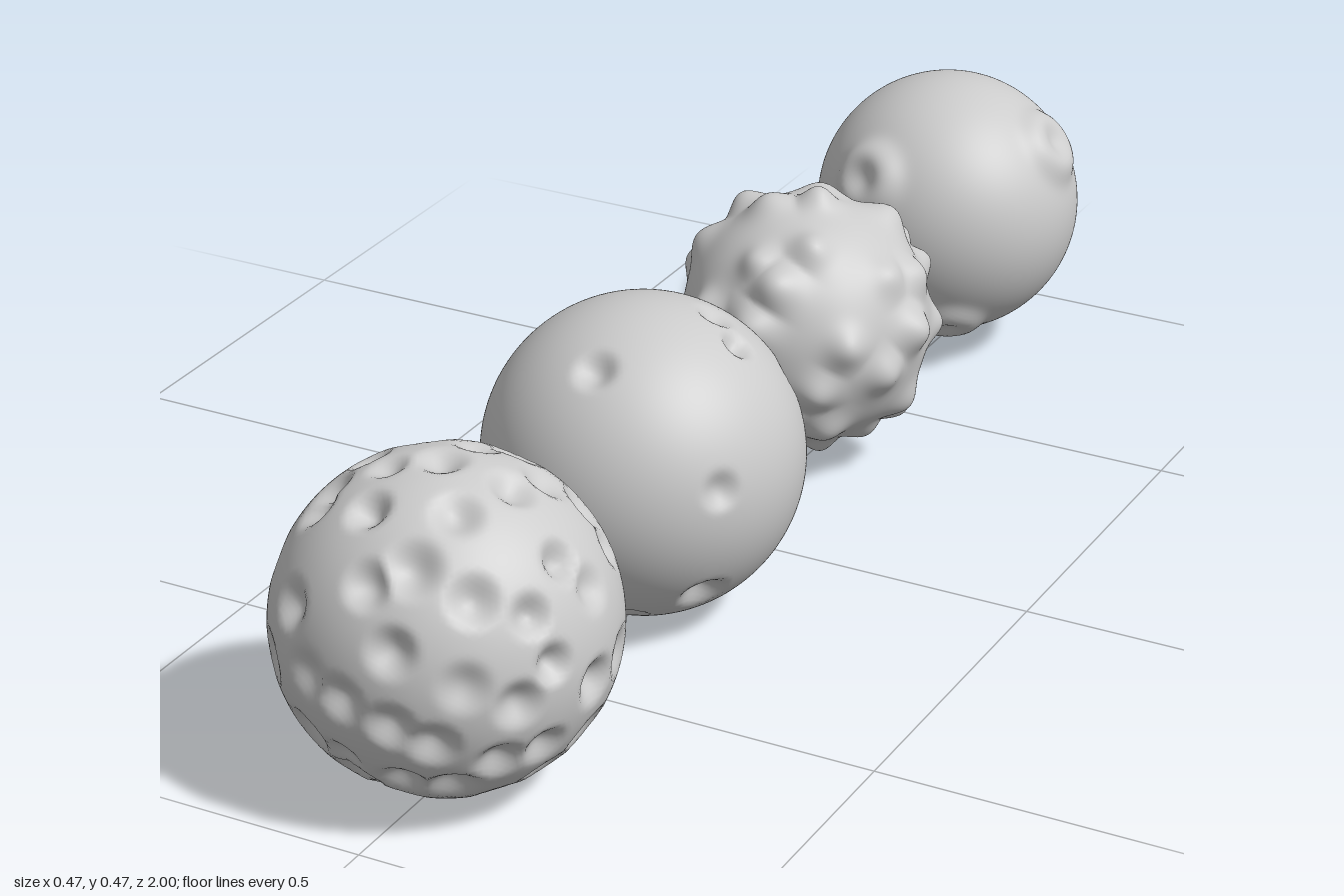
import * as THREE from 'three';
import { mergeVertices } from 'three/addons/utils/BufferGeometryUtils.js';

const material = new THREE.MeshStandardMaterial({ color: 0xcccccc });

// Small seeded generator
function seeded(seed) {
  let s = seed;
  return () => (s = (s * 16807) % 2147483647) / 2147483647;
}

const bell = t => Math.exp(-t * t * 2);

// Surface rules: height as a function of t = distance / feature radius
const pit = t => (t < 1 ? -((1 - t * t) ** 2) : 0);
const knob = t => bell(t);
const rimmedCrater = t => (t > 2 ? 0 : 1.15 * Math.exp(-((t / 0.85) ** 4)) - 0.95 * Math.exp(-((t / 0.5) ** 2)));

// Feature at offset (x, y, z) from the sphere's centre
const at = (x, y, z, size, height) => ({ dir: new THREE.Vector3(x, y, z).normalize(), size, height });

// Evenly scattered directions with a little jitter
function scatter(count, seed, jitter) {
  const rnd = seeded(seed);
  const dirs = [];
  for (let i = 0; i < count; i++) {
    const y = 1 - (2 * i + 1) / count, r = Math.sqrt(1 - y * y), a = i * 2.39996;
    dirs.push(new THREE.Vector3(
      r * Math.cos(a) + (rnd() - 0.5) * jitter,
      y + (rnd() - 0.5) * jitter,
      r * Math.sin(a) + (rnd() - 0.5) * jitter).normalize());
  }
  return dirs;
}

// Sphere whose vertices move in or out under the strongest nearby feature
function rock(name, radius, y, z, rule, features) {
  let geo = new THREE.IcosahedronGeometry(1, 34);
  geo.deleteAttribute('uv');
  geo.deleteAttribute('normal');
  geo = mergeVertices(geo, 1e-5);
  const pos = geo.attributes.position, v = new THREE.Vector3();
  for (let i = 0; i < pos.count; i++) {
    v.fromBufferAttribute(pos, i).normalize();
    let push = 0;
    for (const f of features) {
      const t = v.distanceTo(f.dir) * radius / f.size;
      if (t > 2.2) continue;
      const h = rule(t) * f.height;
      if (Math.abs(h) > Math.abs(push)) push = h;
    }
    v.multiplyScalar(radius + push);
    pos.setXYZ(i, v.x, v.y, v.z);
  }
  geo.computeVertexNormals();
  const mesh = new THREE.Mesh(geo, material);
  mesh.name = name;
  mesh.position.set(0, y, z);
  return mesh;
}

export function createModel() {
  const group = new THREE.Group();
  group.name = 'rowOfAsteroids';

  // Heavily pitted sphere: placed pits on the front and top, scattered pits elsewhere
  const pits = [
    [0, 0.14], [0.05, 0.07], [-0.12, 0.08], [-0.02, -0.01], [0.05, -0.035], [0.1, -0.06], [-0.1, -0.1],
    [0.04, -0.14], [-0.14, -0.165], [0.13, 0.13], [0.19, -0.01], [0.16, -0.1], [-0.17, -0.02], [-0.14, 0.17],
  ].map(([x, y]) => at(x, y, Math.sqrt(Math.max(0.0552 - x * x - y * y, 0.001)), 0.042, 0.02));
  for (const [x, z] of [[-0.08, -0.08], [0, 0.0], [0.1, -0.01], [-0.14, 0.05], [0.07, 0.08]]) {
    pits.push(at(x, Math.sqrt(0.0552 - x * x - z * z), z, 0.042, 0.02));
  }
  const rnd = seeded(77);
  for (const dir of scatter(95, 11, 0.25)) {
    if (pits.every(p => p.dir.distanceTo(dir) > 0.24)) {
      pits.push({ dir, size: 0.034 + rnd() * 0.014, height: 0.014 + rnd() * 0.012 });
    }
  }
  group.add(rock('pittedSphere', 0.236, 0.237, 0.765, pit, pits));

  // Mostly smooth sphere with a few dents
  const dents = [
    at(0.19, 0.04, 0.125, 0.035, 0.014), at(0.15, -0.14, 0.105, 0.042, 0.024),
    at(0.13, 0.18, -0.03, 0.03, 0.02), at(0.08, 0.2, -0.06, 0.034, 0.014),
    at(0.16, 0.1, -0.135, 0.034, 0.02), at(0, 0.185, 0.135, 0.038, 0.018),
    at(0.14, -0.06, -0.15, 0.05, 0.016), at(0.14, -0.115, -0.12, 0.05, 0.018),
    at(-0.072, -0.055, -0.212, 0.036, 0.02), at(-0.186, -0.021, -0.135, 0.034, 0.02),
    at(-0.036, 0.089, -0.209, 0.03, 0.008), at(0.044, -0.19, 0.13, 0.034, 0.014),
  ];
  group.add(rock('dentedSphere', 0.231, 0.24, 0.224, pit, dents));

  // Knobbly sphere covered in bumps
  const rndKnob = seeded(5);
  const knobs = scatter(46, 23, 0.3).map(dir => ({ dir, size: 0.036 + rndKnob() * 0.012, height: 0.014 + rndKnob() * 0.016 }));
  group.add(rock('knobblySphere', 0.187, 0.24, -0.29, knob, knobs));

  // Smooth sphere with raised craters
  const craters = [
    at(0.165, 0.12, -0.02, 0.066, 0.022), at(-0.06, 0.088, 0.175, 0.066, 0.022),
    at(-0.179, -0.03, -0.098, 0.074, 0.024), at(0.094, -0.145, -0.153, 0.062, 0.022),
    at(0.06, -0.155, 0.125, 0.06, 0.02),
  ];
  group.add(rock('crateredSphere', 0.207, 0.238, -0.792, rimmedCrater, craters));

  return group;
}
